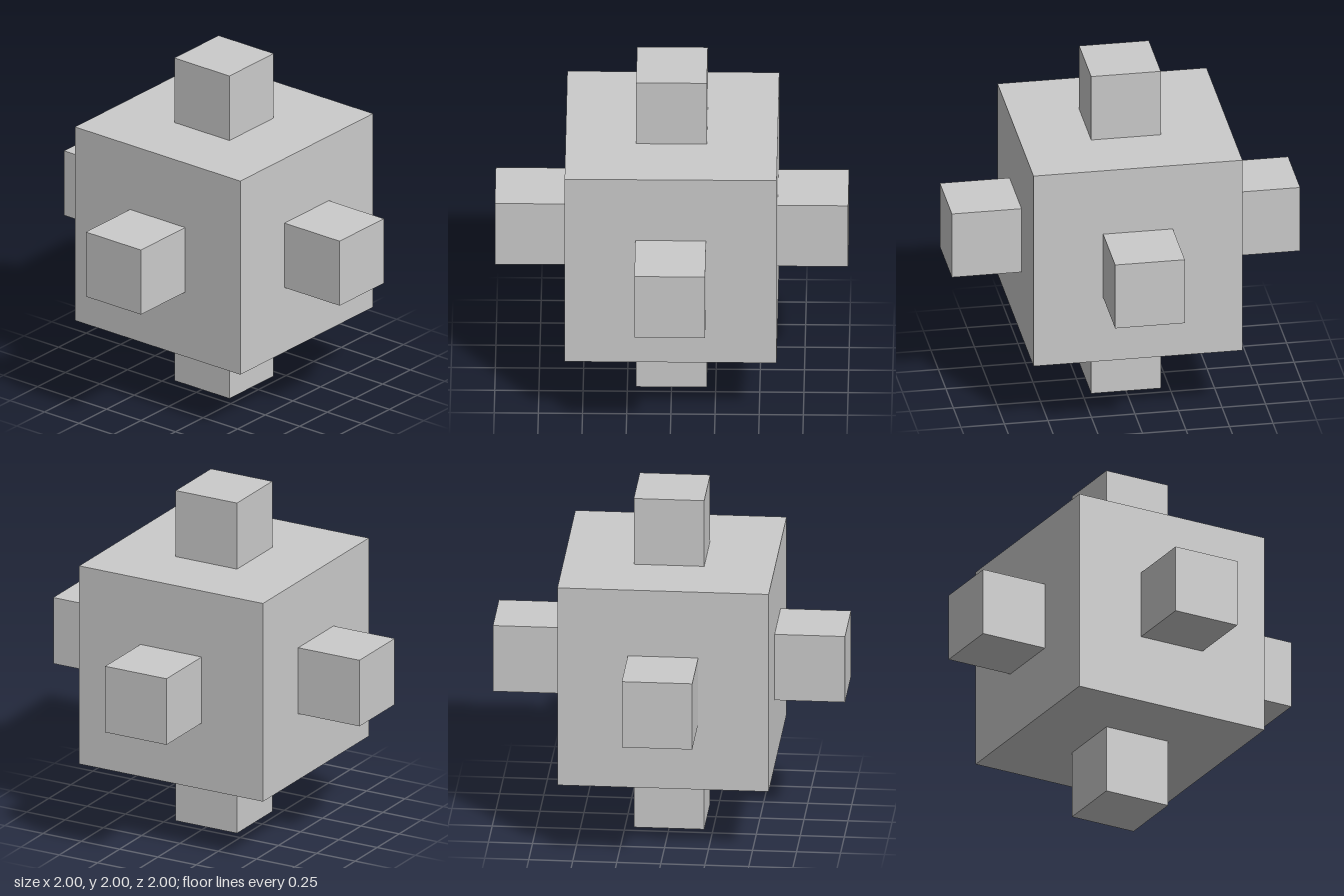
import * as THREE from 'three';

const CORE = 1.2; // edge of the central cube
const STUD = 0.4; // edge of each small cube

export function createModel() {
  const model = new THREE.Group();
  model.name = 'studdedCube';
  const material = new THREE.MeshStandardMaterial({ color: 0xcccccc, flatShading: true });

  const addCube = (name, size, position) => {
    const mesh = new THREE.Mesh(new THREE.BoxGeometry(size, size, size), material);
    mesh.name = name;
    mesh.position.copy(position);
    model.add(mesh);
  };

  // Central cube
  const centre = new THREE.Vector3(0, 1, 0);
  addCube('core', CORE, centre);

  // One small cube standing on the middle of each face
  const directions = {
    left: [1, 0, 0], right: [-1, 0, 0],
    top: [0, 1, 0], bottom: [0, -1, 0],
    front: [0, 0, 1], back: [0, 0, -1],
  };
  for (const [side, direction] of Object.entries(directions)) {
    const offset = new THREE.Vector3(...direction).multiplyScalar((CORE + STUD) / 2);
    addCube(`${side}Stud`, STUD, offset.add(centre));
  }

  return model;
}
